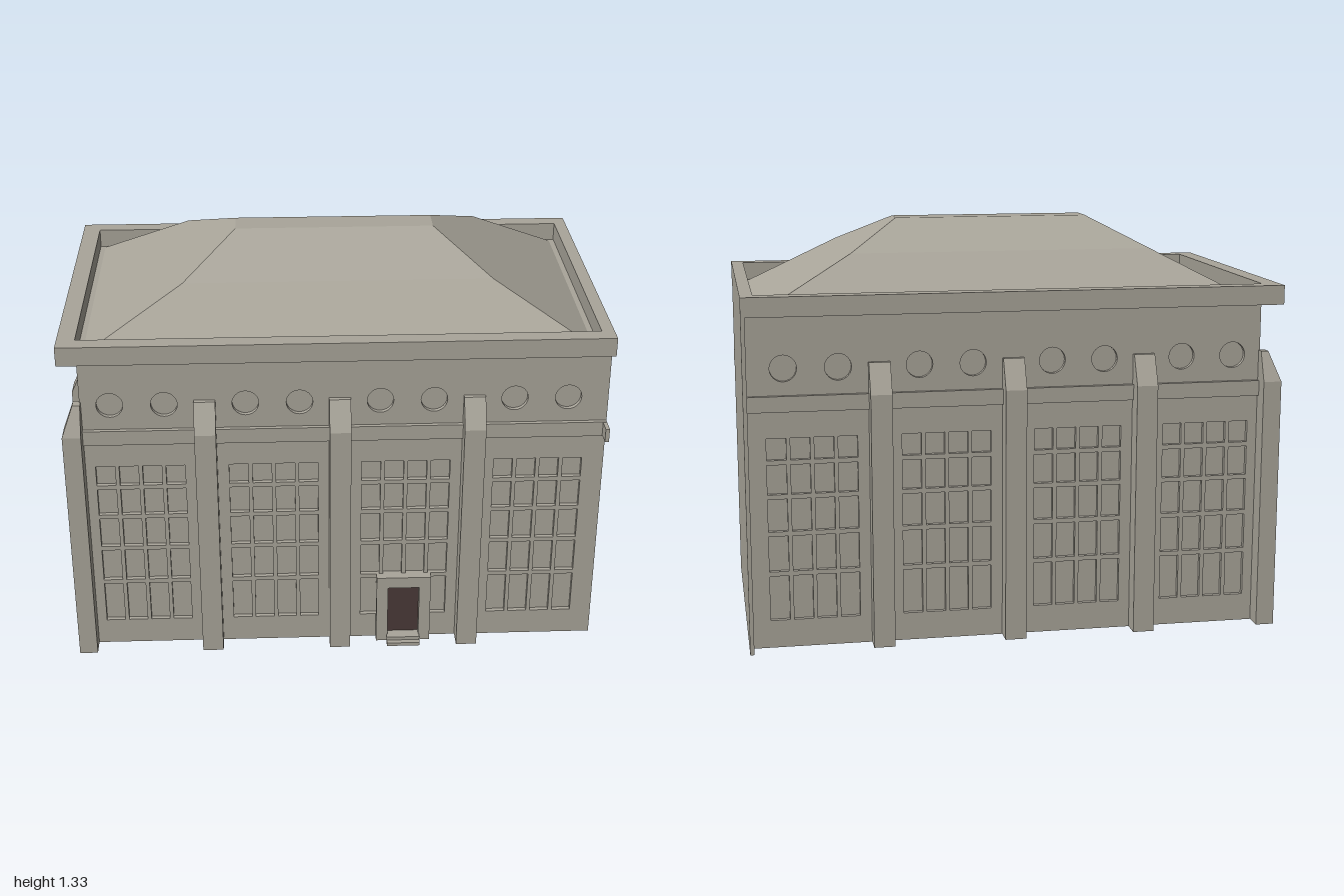
import * as THREE from 'three';

const stone = new THREE.MeshStandardMaterial({ color: 0xa9a59a, flatShading: true });
const dark = new THREE.MeshStandardMaterial({ color: 0x4a3a38 });

// Half sizes of the walls; the east end is a blind party wall flush with the cornice
const WEST = -0.805, EAST = 0.86, WALL = 0.452, EAVE = 0.512, RECESS = 0.015;
const PITCH = 0.425, FIRST = -0.627;
const longBays = [0, 1, 2, 3].map(i => FIRST + i * PITCH);
const paneRows = [[0.09, 0.235], [0.25, 0.365], [0.38, 0.485], [0.5, 0.595], [0.61, 0.68]];

function add(parent, name, geometry, material = stone) {
  const mesh = new THREE.Mesh(geometry, material);
  mesh.name = name;
  parent.add(mesh);
  return mesh;
}

// Box given by its limits
function block(parent, name, x0, x1, y0, y1, z0, z1, material) {
  const mesh = add(parent, name, new THREE.BoxGeometry(x1 - x0, y1 - y0, z1 - z0), material);
  mesh.position.set((x0 + x1) / 2, (y0 + y1) / 2, (z0 + z1) / 2);
  return mesh;
}

function rectangle(x0, x1, y0, y1, Type = THREE.Shape) {
  return new Type([[x0, y0], [x1, y0], [x1, y1], [x0, y1]].map(p => new THREE.Vector2(...p)));
}

// Wall skin pierced by window panes and round openings
function facade(name, x0, x1, bays, width, rounds) {
  const shape = rectangle(x0, x1, 0, 1.07);
  const gap = 0.013, pane = (width - 3 * gap) / 4;
  for (const c of bays) {
    for (let i = 0; i < 4; i++) {
      const left = c - width / 2 + i * (pane + gap);
      for (const [y0, y1] of paneRows) {
        shape.holes.push(rectangle(left, left + pane, y0, y1, THREE.Path));
      }
    }
    if (rounds) {
      for (const s of [-1, 1]) {
        shape.holes.push(new THREE.Path().absarc(c + s * 0.085, 0.9, 0.042, 0, Math.PI * 2));
      }
    }
  }
  const group = new THREE.Group();
  group.name = name;
  add(group, name + 'Skin', new THREE.ExtrudeGeometry(shape, { depth: RECESS, bevelEnabled: false, curveSegments: 12 }));
  return group;
}

// Solid made of stacked rectangular rings [x0, x1, z0, z1, y], closed on top
function ringSolid(rings) {
  const pos = [];
  const corners = rings.map(([x0, x1, z0, z1, y]) => [[x0, y, z1], [x1, y, z1], [x1, y, z0], [x0, y, z0]]);
  const quad = (a, b, c, d) => pos.push(...a, ...b, ...c, ...a, ...c, ...d);
  for (let r = 0; r + 1 < corners.length; r++) {
    for (let i = 0; i < 4; i++) {
      const j = (i + 1) % 4;
      quad(corners[r][i], corners[r][j], corners[r + 1][j], corners[r + 1][i]);
    }
  }
  quad(...corners[corners.length - 1]);
  quad(...[...corners[0]].reverse());
  const geometry = new THREE.BufferGeometry();
  geometry.setAttribute('position', new THREE.Float32BufferAttribute(pos, 3));
  geometry.computeVertexNormals();
  return geometry;
}

// Buttress whose chosen sides slope in near the top
function buttress(parent, x0, x1, z0, z1, inset) {
  const [a, b, c, d] = inset;
  add(parent, 'buttress', ringSolid([
    [x0, x1, z0, z1, 0], [x0, x1, z0, z1, 0.818], [x0 + a, x1 - b, z0 + c, z1 - d, 0.913]]));
}

export function createModel() {
  const model = new THREE.Group();
  const hall = new THREE.Group();
  hall.name = 'building';
  hall.rotation.y = 0.487;
  model.add(hall);

  // Core behind the window openings
  block(hall, 'core', WEST + RECESS, EAST - 0.013, 0, 1.07, -WALL + RECESS, WALL - RECESS);

  // Pierced walls on three sides
  const front = facade('frontWall', WEST, EAST - 0.001, longBays, 0.285, true);
  front.position.z = WALL - RECESS;
  const back = facade('backWall', -EAST + 0.001, -WEST, longBays.map(x => -x), 0.285, true);
  back.rotation.y = Math.PI;
  back.position.z = -WALL + RECESS;
  const west = facade('westWall', -WALL + RECESS, WALL - RECESS, [-0.32, 0, 0.32], 0.24, false);
  west.rotation.y = -Math.PI / 2;
  west.position.x = WEST + RECESS;
  hall.add(front, back, west);

  // Blind end wall, with a small return where the band meets it
  block(hall, 'endWall', EAST - 0.013, EAST, 0, 1.07, -EAVE, WALL);
  block(hall, 'bandReturn', EAST - 0.013, EAST, 0.768, 0.813, WALL, EAVE);

  // Band course
  block(hall, 'bandCourse', WEST - 0.014, EAST - 0.002, 0.765, 0.815, -WALL - 0.014, WALL + 0.014);

  // Buttresses: long sides, west side, and the two corners
  const slope = 0.045;
  for (const s of [-1, 1]) {
    const near = WALL - 0.01;
    const z0 = s > 0 ? near : -EAVE, z1 = s > 0 ? EAVE : -near;
    const inset = s > 0 ? [0, 0, 0, slope] : [0, 0, slope, 0];
    for (let i = 0; i < 3; i++) {
      const x = -0.415 + i * PITCH;
      buttress(hall, x - 0.034, x + 0.034, z0, z1, inset);
    }
    buttress(hall, -0.86, WEST + 0.004, z0, z1, s > 0 ? [0.035, 0, 0, 0.035] : [0.035, 0, 0.035, 0]);
    buttress(hall, -0.86, WEST + 0.01, s * 0.16 - 0.034, s * 0.16 + 0.034, [slope, 0, 0, 0]);
  }

  // Cornice ring standing up around the roof
  const ring = rectangle(-0.86, EAST, -EAVE, EAVE);
  ring.holes.push(rectangle(-0.803, 0.82, -0.457, 0.457, THREE.Path));
  const cornice = add(hall, 'cornice', new THREE.ExtrudeGeometry(ring, { depth: 0.062, bevelEnabled: false }));
  cornice.rotation.x = -Math.PI / 2;
  cornice.position.y = 1.068;

  // Hipped roof with a change of slope and a narrow flat top
  add(hall, 'roof', ringSolid([
    [-0.79, 0.806, -0.446, 0.442, 1.068],
    [-0.478, 0.502, -0.276, 0.27, 1.232],
    [-0.312, 0.33, -0.052, 0.044, 1.325]]));

  // Doorway with frame and steps
  const door = new THREE.Group();
  door.name = 'doorway';
  door.position.set(longBays[2], 0, WALL);
  hall.add(door);
  const frame = rectangle(-0.09, 0.09, 0, 0.25);
  frame.holes.push(rectangle(-0.052, 0.052, 0.02, 0.21, THREE.Path));
  add(door, 'doorFrame', new THREE.ExtrudeGeometry(frame, { depth: 0.028, bevelEnabled: false }));
  block(door, 'door', -0.053, 0.053, 0.019, 0.211, -0.01, 0.006, dark);
  block(door, 'upperStep', -0.055, 0.055, 0, 0.024, 0.005, 0.045);
  block(door, 'lowerStep', -0.055, 0.055, 0, 0.012, 0.005, 0.062);
  return model;
}
